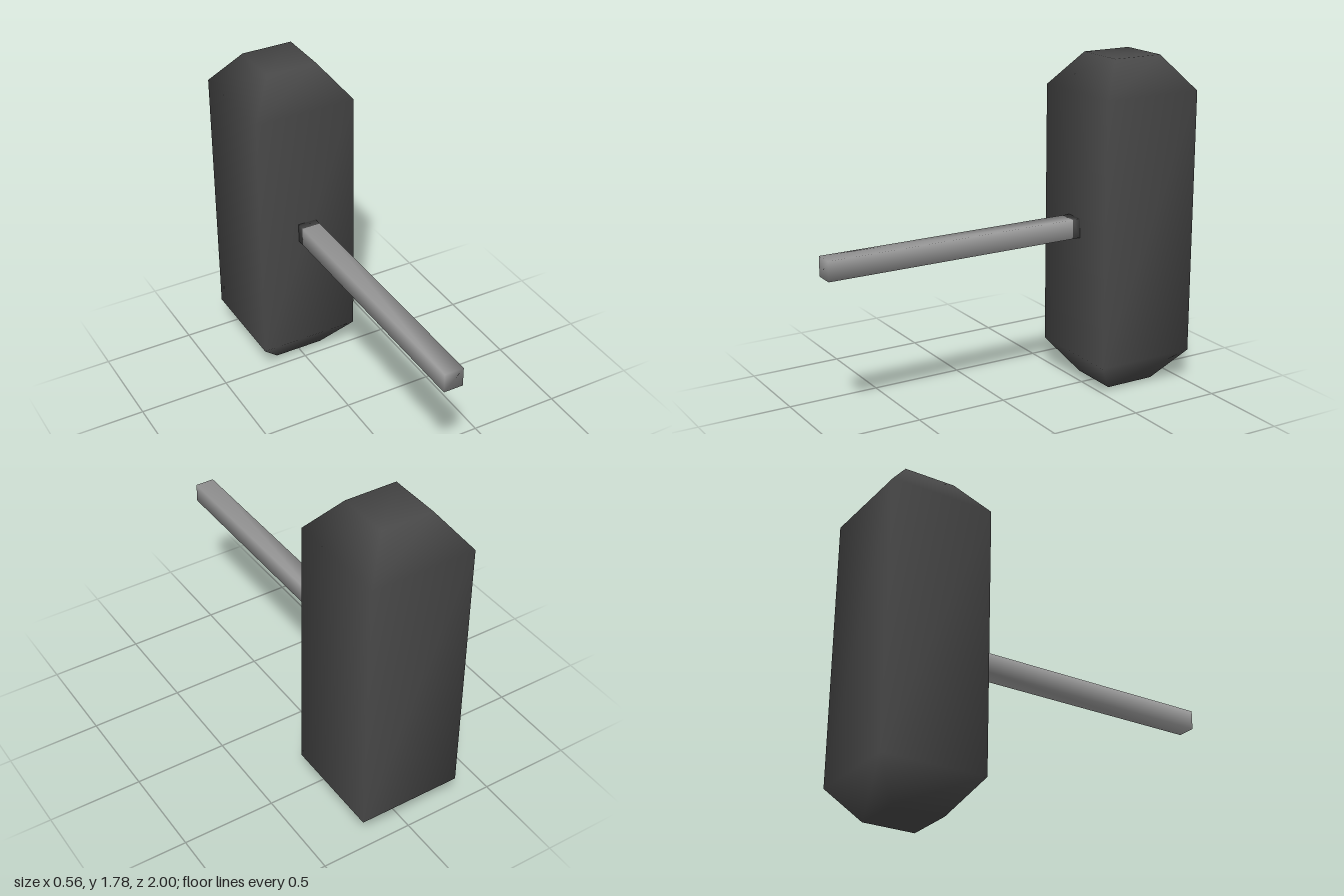
import * as THREE from 'three';

// Smooth-shaded square prism along y; rings are [y, halfWidth], listed bottom to top.
// materialIndex gives the material used for each span between rings.
function squareLoft(rings, spanMaterials) {
  const pos = [], idx = [];
  const corners = [[-1, 1], [1, 1], [1, -1], [-1, -1]];
  for (const [y, h] of rings) for (const [x, z] of corners) pos.push(x * h, y, z * h);
  const geo = new THREE.BufferGeometry();
  const last = (rings.length - 1) * 4;
  const span = (start, material) => geo.addGroup(start, idx.length - start, material);

  idx.push(0, 2, 1, 0, 3, 2);
  span(0, spanMaterials[0]);
  for (let r = 0; r < rings.length - 1; r++) {
    const start = idx.length;
    for (let i = 0; i < 4; i++) {
      const a = r * 4 + i, b = r * 4 + (i + 1) % 4;
      idx.push(a, b, b + 4, a, b + 4, a + 4);
    }
    span(start, spanMaterials[r]);
  }
  const start = idx.length;
  idx.push(last, last + 1, last + 2, last, last + 2, last + 3);
  span(start, spanMaterials[spanMaterials.length - 1]);

  geo.setAttribute('position', new THREE.Float32BufferAttribute(pos, 3));
  geo.setIndex(idx);
  geo.computeVertexNormals();
  return geo;
}

export function createModel() {
  const group = new THREE.Group();
  const dark = new THREE.MeshStandardMaterial({ name: 'charcoal', color: 0x484848 });
  const light = new THREE.MeshStandardMaterial({ name: 'grey', color: 0x999999 });

  // Upright square block with tapered ends
  const block = new THREE.Mesh(
    squareLoft([[0, 0.14], [0.18, 0.28], [1.605, 0.28], [1.785, 0.14]], [0, 0, 0]), [dark]);
  block.name = 'block';
  block.position.z = -0.72;
  group.add(block);

  // Rod pointing forward, with a dark collar where it meets the block
  const rod = new THREE.Mesh(
    squareLoft([[-0.44, 0.052], [-0.395, 0.052], [1, 0.052]], [0, 1]), [dark, light]);
  rod.name = 'rod';
  rod.rotation.x = Math.PI / 2;
  rod.position.set(-0.002, 0.893, 0);
  group.add(rod);

  return group;
}
